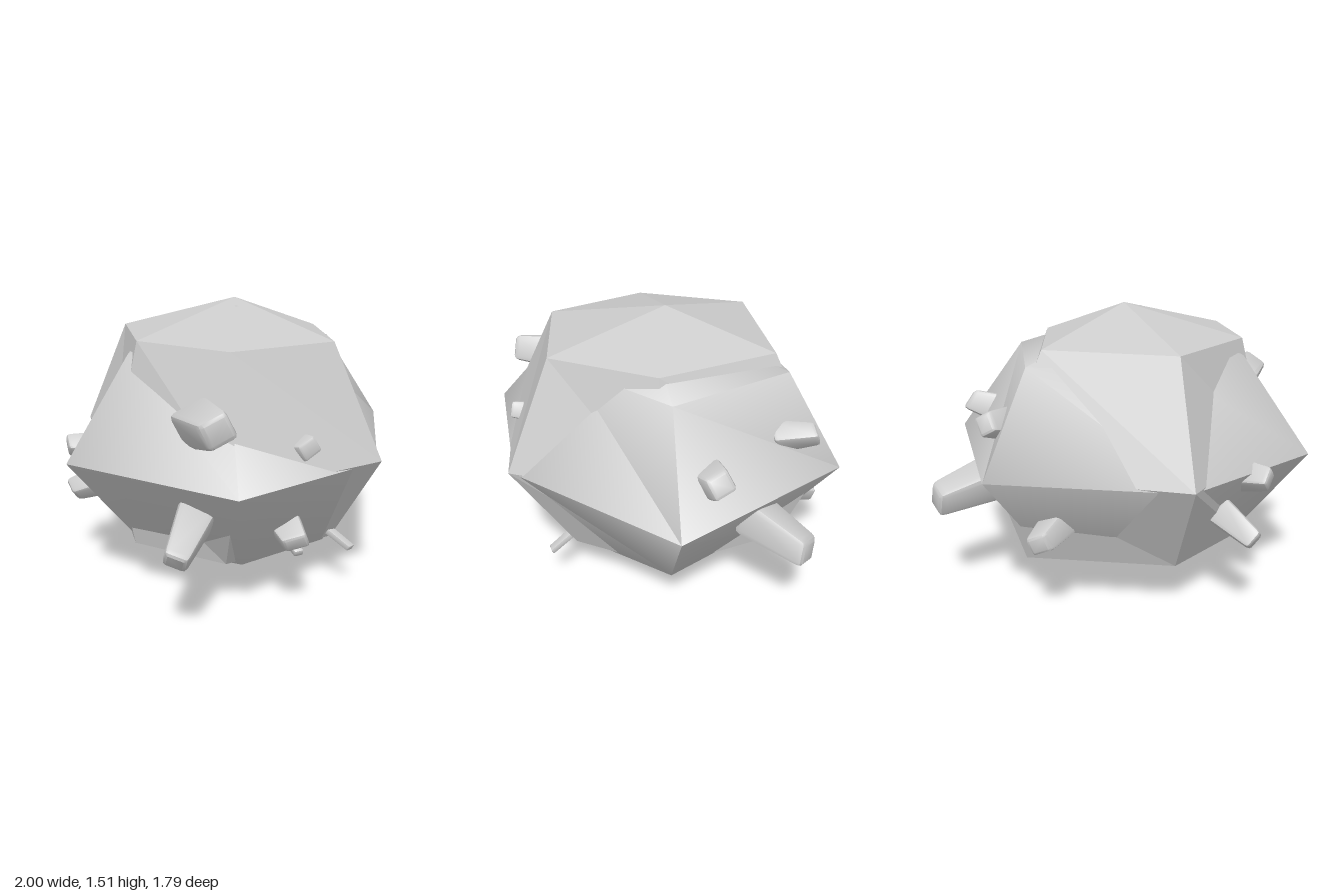
import * as THREE from 'three';
import { toCreasedNormals } from 'three/addons/utils/BufferGeometryUtils.js';
import { RoundedBoxGeometry } from 'three/addons/geometries/RoundedBoxGeometry.js';

const material = new THREE.MeshStandardMaterial({ color: 0xcccccc });
const flatMaterial = new THREE.MeshStandardMaterial({ color: 0xcccccc, flatShading: true });

// Closed boulder: bottom point, six-sided rings of [x, y, z] going up, top point
function boulderGeometry(bottom, rings, top) {
  const points = [bottom, ...rings.flat(), top];
  const n = rings[0].length, last = points.length - 1, index = [];
  const at = (r, i) => 1 + r * n + (i % n);
  for (let i = 0; i < n; i++) {
    index.push(0, at(0, i), at(0, i + 1));
    for (let r = 0; r < rings.length - 1; r++) {
      index.push(at(r, i), at(r + 1, i), at(r + 1, i + 1));
      index.push(at(r, i), at(r + 1, i + 1), at(r, i + 1));
    }
    index.push(at(rings.length - 1, i), last, at(rings.length - 1, i + 1));
  }
  const g = new THREE.BufferGeometry();
  g.setAttribute('position', new THREE.Float32BufferAttribute(points.flat(), 3));
  g.setIndex(index);
  g.computeVertexNormals();
  return g;
}

// Ring of [x, z] corners at one height
const ring = (y, corners) => corners.map(([x, z]) => [x, y, z]);

// Rounded block that narrows towards its outer end and leans along a direction
function stone(name, position, direction, [w, h, d], taper, spin) {
  const g = new RoundedBoxGeometry(w, h, d, 1, Math.min(w, d) * 0.16);
  const p = g.attributes.position;
  for (let i = 0; i < p.count; i++) {
    const k = 1 - taper * (p.getY(i) / h + 0.5);
    p.setXYZ(i, p.getX(i) * k, p.getY(i) + p.getX(i) * 0.18, p.getZ(i) * k);
  }
  g.computeVertexNormals();
  const mesh = new THREE.Mesh(toCreasedNormals(g, 0.6), material);
  mesh.name = name;
  mesh.position.set(...position);
  mesh.quaternion.setFromUnitVectors(
    new THREE.Vector3(0, 1, 0), new THREE.Vector3(...direction).normalize());
  mesh.rotateY(spin);
  return mesh;
}

export function createModel() {
  const group = new THREE.Group();
  group.name = 'rock';

  // Hard-edged boulder
  const faceted = new THREE.Mesh(boulderGeometry(
    [-0.08, 0.03, 0.06],
    [
      ring(0.26, [[-0.65, 0.02], [-0.41, -0.5], [0.35, -0.62], [0.55, 0.02], [0.29, 0.49], [-0.38, 0.5]]),
      ring(0.765, [[-0.76, 0.05], [-0.56, -0.77], [0.42, -0.82], [0.65, 0.05], [0.335, 0.815], [-0.52, 0.82]]),
      ring(1.343, [[-0.62, 0.05], [-0.42, -0.52], [0.26, -0.56], [0.47, 0.05], [0.2, 0.58], [-0.39, 0.56]]),
    ],
    [0, 1.515, -0.03]), flatMaterial);
  faceted.name = 'facetedBoulder';
  group.add(faceted);

  // Softer boulder pushed through it, creased around the middle
  const soft = new THREE.Mesh(toCreasedNormals(boulderGeometry(
    [-0.1, 0.005, -0.02],
    [
      ring(0.245, [[-0.6, 0], [-0.4, -0.45], [0.27, -0.54], [0.61, 0], [0.24, 0.48], [-0.3, 0.52]]),
      ring(0.755, [[-1, 0], [-0.54, -0.75], [0.44, -0.9], [0.995, 0], [0.33, 0.79], [-0.55, 0.89]]),
      ring(1.265, [[-0.64, -0.02], [-0.36, -0.46], [0.32, -0.62], [0.61, 0], [0.18, 0.46], [-0.36, 0.5]]),
    ],
    [-0.06, 1.487, 0.08]), 1.05), material);
  soft.name = 'softBoulder';
  group.add(soft);

  // Stones stuck all around: position, outward direction, size, taper, spin
  const stones = [
    [[-0.56, 1.03, 0.63], [-0.15, 0.1, 1], [0.2, 0.3, 0.2], 0.3, 0.3],
    [[-0.67, 0.51, 0.62], [-0.75, -0.35, 0.7], [0.2, 0.34, 0.19], 0.4, 0.4],
    [[-0.12, 0.45, 0.66], [-0.25, -0.3, 1], [0.18, 0.24, 0.13], 0.35, 0.2],
    [[-0.1, 0.885, 0.74], [0, 0.2, 1], [0.12, 0.13, 0.11], 0.2, 0.5],
    [[0.28, 0.28, 0.55], [0.35, -0.45, 0.75], [0.05, 0.2, 0.035], 0.1, 0.5],
    [[-0.1, 0.38, 0.64], [0, -0.4, 0.9], [0.05, 0.2, 0.04], 0.1, 0.2],
    [[0.76, 0.94, -0.18], [0.9, 0.3, -0.25], [0.16, 0.18, 0.17], 0.3, 0.6],
    [[0.46, 0.98, -0.64], [0.3, 0.2, -1], [0.13, 0.22, 0.16], 0.35, 0.3],
    [[0.71, 0.58, -0.52], [0.75, -0.25, -0.75], [0.2, 0.38, 0.22], 0.35, 0.5],
    [[0.17, 0.47, -0.73], [0.15, -0.2, -1], [0.16, 0.24, 0.15], 0.35, 0.2],
    [[-0.76, 0.72, -0.34], [-0.85, 0.1, -0.4], [0.14, 0.2, 0.15], 0.35, 0.4],
    [[-0.7, 0.48, -0.41], [-0.7, -0.3, -0.45], [0.16, 0.26, 0.15], 0.35, 0.3],
  ];
  stones.forEach((s, i) => group.add(stone(`stone${i + 1}`, ...s)));
  return group;
}
